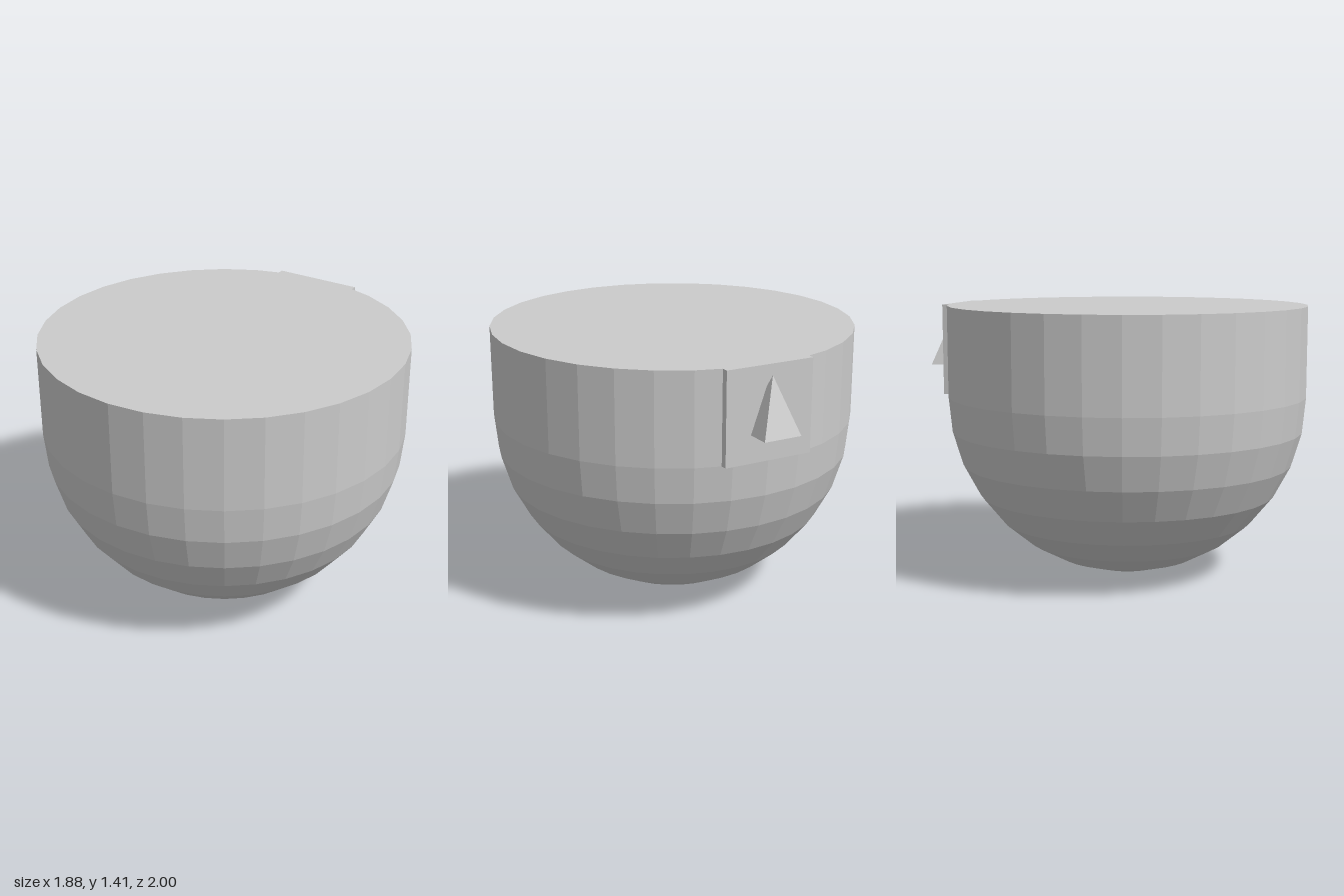
import * as THREE from 'three';

export function createModel() {
  const model = new THREE.Group();
  const material = new THREE.MeshStandardMaterial({ color: 0xcccccc, flatShading: true });
  const add = (name, geometry, x, y, z) => {
    const mesh = new THREE.Mesh(geometry, material);
    mesh.name = name;
    mesh.position.set(x, y, z);
    model.add(mesh);
    return mesh;
  };

  const radius = 0.94, top = 1.41, rings = 8;

  // Bowl: faceted hemisphere, straight wall and flat lid in one profile
  const profile = [];
  for (let i = 0; i <= rings; i++) {
    const a = (i / rings) * Math.PI / 2;
    profile.push(new THREE.Vector2(i ? radius * Math.sin(a) : 0, radius * (1 - Math.cos(a))));
  }
  profile.push(new THREE.Vector2(radius, top), new THREE.Vector2(0, top));
  add('bowl', new THREE.LatheGeometry(profile, 32), 0, 0, 0.06);

  // Square mounting plate on the back of the wall
  add('backPlate', new THREE.BoxGeometry(0.47, 0.47, 0.04), 0, 1.175, -0.861);

  // Pyramid hook half sunk into the plate
  const hook = new THREE.ConeGeometry(0.1 * Math.SQRT2, 0.28, 4);
  hook.rotateY(Math.PI / 4);
  add('pyramidHook', hook, 0, 1.22, -0.9);

  return model;
}
